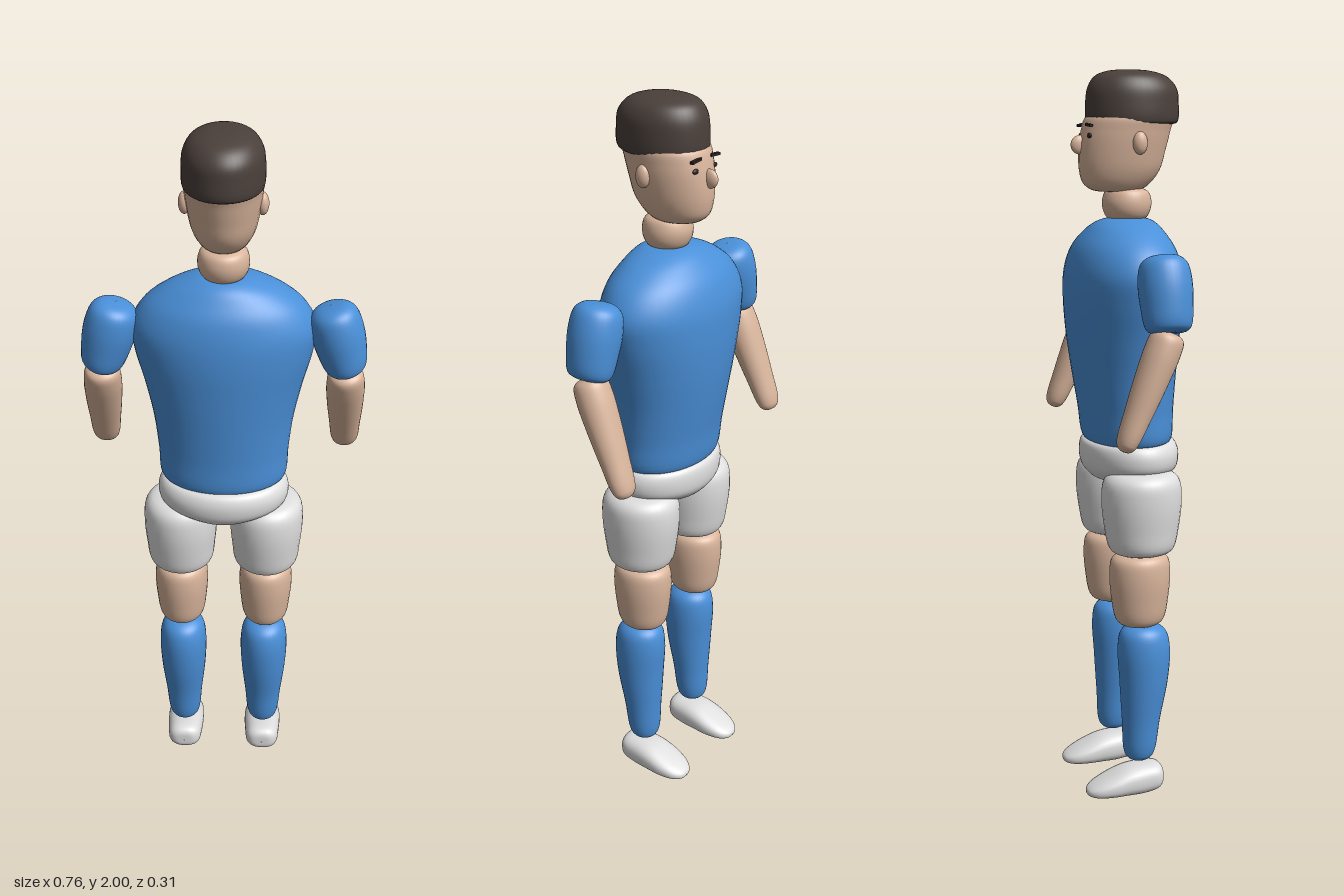
import * as THREE from 'three';

const mat = (name, color) => {
  const m = new THREE.MeshStandardMaterial({ color });
  m.name = name;
  return m;
};

// Smooth closed body from sections [y, radiusX, radiusZ, centreZ]; e < 1 squares the section
function loft(sections, e = 1, segs = 32, steps = 5) {
  const radii = new THREE.CatmullRomCurve3(sections.map(([y, rx, rz]) => new THREE.Vector3(rx, y, rz)));
  const mids = new THREE.CatmullRomCurve3(sections.map(([y, , , c = 0]) => new THREE.Vector3(0, y, c)));
  const rows = (sections.length - 1) * steps;
  const pos = [], index = [];
  const pw = v => Math.sign(v) * Math.abs(v) ** e;
  for (let i = 0; i <= rows; i++) {
    const r = radii.getPoint(i / rows), c = mids.getPoint(i / rows).z;
    for (let j = 0; j < segs; j++) {
      const a = (j / segs) * Math.PI * 2;
      pos.push(Math.max(r.x, 0.001) * pw(Math.cos(a)), r.y, c + Math.max(r.z, 0.001) * pw(Math.sin(a)));
    }
  }
  for (let i = 0; i < rows; i++) {
    for (let j = 0; j < segs; j++) {
      const a = i * segs + j, b = i * segs + (j + 1) % segs;
      index.push(a, a + segs, b, b, a + segs, b + segs);
    }
  }
  const g = new THREE.BufferGeometry();
  g.setAttribute('position', new THREE.Float32BufferAttribute(pos, 3));
  g.setIndex(index);
  g.computeVertexNormals();
  return g;
}

export function createModel() {
  const model = new THREE.Group();
  model.name = 'footballer';
  const blue = mat('kit blue', 0x4a90d9);
  const white = mat('shorts white', 0xdedede);
  const skin = mat('skin', 0xd9b59c);
  const hair = mat('hair brown', 0x4a403b);
  const dark = mat('eye dark', 0x2a2422);

  const add = (name, geo, material, x = 0, y = 0, z = 0) => {
    const m = new THREE.Mesh(geo, material);
    m.name = name;
    m.position.set(x, y, z);
    model.add(m);
    return m;
  };
  const ball = (rx, ry, rz) => new THREE.SphereGeometry(1, 24, 16).scale(rx, ry, rz);

  // Torso, hips and neck
  add('shirt', loft([
    [1.005, 0, 0, 0.012], [1.005, 0.15, 0.105, 0.012], [1.015, 0.17, 0.118, 0.012],
    [1.1, 0.178, 0.127, 0.008], [1.2, 0.19, 0.139, 0.003], [1.3, 0.211, 0.149, 0],
    [1.4, 0.236, 0.154, 0], [1.47, 0.243, 0.15, 0], [1.53, 0.212, 0.134, 0.002],
    [1.575, 0.155, 0.105, 0.005], [1.6, 0.1, 0.08, 0.009], [1.612, 0.055, 0.05, 0.012], [1.613, 0, 0, 0.012],
  ], 1, 48), blue);
  add('shortsWaist', loft([
    [0.887, 0, 0, 0.018], [0.895, 0.08, 0.085, 0.018], [0.915, 0.14, 0.115, 0.018], [0.94, 0.175, 0.13, 0.018],
    [0.975, 0.181, 0.133, 0.018], [1, 0.172, 0.126, 0.016], [1.01, 0.155, 0.11, 0.015], [1.01, 0, 0, 0.015],
  ], 1, 48), white);
  add('neck', loft([
    [1.605, 0, 0, 0.013], [1.61, 0.05, 0.05, 0.013], [1.63, 0.064, 0.063, 0.013], [1.655, 0.067, 0.067, 0.013],
    [1.68, 0.06, 0.06, 0.013], [1.69, 0.045, 0.045, 0.01], [1.69, 0, 0, 0.01],
  ]), skin);

  // Head, hair and face, looking towards -z
  add('head', loft([
    [1.682, 0, 0, -0.02], [1.686, 0.05, 0.065, -0.017], [1.705, 0.068, 0.093, -0.015], [1.74, 0.083, 0.111, -0.007],
    [1.79, 0.093, 0.119, 0], [1.84, 0.099, 0.122, 0.01], [1.88, 0.099, 0.118, 0.022], [1.9, 0, 0, 0.028],
  ]), skin);
  add('hair', loft([
    [1.86, 0, 0, 0.027], [1.861, 0.099, 0.12, 0.027], [1.87, 0.103, 0.126, 0.028], [1.91, 0.104, 0.127, 0.028],
    [1.95, 0.1, 0.122, 0.028], [1.98, 0.083, 0.101, 0.024], [1.996, 0.048, 0.06, 0.02], [2, 0, 0, 0.018],
  ], 1, 40), hair);
  add('nose', ball(0.012, 0.025, 0.025), skin, 0, 1.805, -0.118);

  // Limb built downwards from the shoulder or elbow and tilted towards its far end
  const limb = (name, sections, material, from, to) => {
    const m = add(name, loft(sections), material, ...from);
    const dir = new THREE.Vector3(...from).sub(new THREE.Vector3(...to)).normalize();
    m.quaternion.setFromUnitVectors(new THREE.Vector3(0, 1, 0), dir);
  };

  // Shoe runs heel to toe: [forward, half width, half height, centre height]
  const shoe = loft([
    [-0.078, 0, 0, 0.048], [-0.075, 0.03, 0.025, 0.049], [-0.06, 0.046, 0.038, 0.048], [-0.02, 0.052, 0.043, 0.045],
    [0.03, 0.055, 0.04, 0.042], [0.08, 0.053, 0.03, 0.033], [0.12, 0.041, 0.019, 0.025],
    [0.14, 0.022, 0.01, 0.021], [0.146, 0, 0, 0.02],
  ], 0.8).rotateX(-Math.PI / 2).translate(0, -0.002, 0);

  for (const [side, s] of [['left', -1], ['right', 1]]) {
    // Face details
    add(side + 'Ear', ball(0.016, 0.03, 0.02), skin, s * 0.097, 1.81, 0.018);
    const brow = add(side + 'Brow', new THREE.BoxGeometry(0.038, 0.007, 0.009), dark, s * 0.039, 1.856, -0.104);
    brow.rotation.z = s * -0.08;
    add(side + 'Eye', ball(0.012, 0.007, 0.005), dark, s * 0.039, 1.829, -0.103);

    // Arms
    limb(side + 'Sleeve', [
      [-0.2, 0, 0], [-0.198, 0.035, 0.045], [-0.185, 0.053, 0.06], [-0.13, 0.066, 0.068], [-0.07, 0.07, 0.07],
      [-0.025, 0.062, 0.062], [-0.006, 0.042, 0.042], [0, 0, 0],
    ], blue, [s * 0.277, 1.533, 0.017], [s * 0.328, 1.335, 0.017]);
    limb(side + 'Forearm', [
      [-0.325, 0, 0], [-0.321, 0.02, 0.015], [-0.305, 0.034, 0.026], [-0.22, 0.043, 0.036], [-0.12, 0.05, 0.044],
      [-0.05, 0.051, 0.047], [-0.012, 0.045, 0.043], [0, 0.028, 0.028], [0, 0, 0],
    ], skin, [s * 0.323, 1.34, 0.02], [s * 0.336, 1.03, -0.112]);

    // Legs
    add(side + 'ShortsLeg', loft([
      [0.705, 0, 0], [0.708, 0.065, 0.07], [0.724, 0.088, 0.09], [0.78, 0.097, 0.103], [0.86, 0.103, 0.111],
      [0.91, 0.098, 0.105], [0.932, 0.078, 0.083], [0.937, 0, 0],
    ]), white, s * 0.121, 0, 0.016);
    add(side + 'Knee', loft([
      [0.5, 0, 0], [0.503, 0.045, 0.05], [0.52, 0.062, 0.068], [0.58, 0.072, 0.08], [0.65, 0.076, 0.085],
      [0.69, 0.07, 0.079], [0.706, 0.05, 0.055], [0.708, 0, 0],
    ]), skin, s * 0.122, 0, 0.011);
    add(side + 'Sock', loft([
      [0.098, 0, 0, 0.01], [0.102, 0.026, 0.026, 0.01], [0.12, 0.042, 0.042, 0.011], [0.22, 0.054, 0.054, 0.016],
      [0.34, 0.066, 0.069, 0.024], [0.43, 0.068, 0.074, 0.024], [0.475, 0.06, 0.065, 0.022],
      [0.495, 0.04, 0.042, 0.02], [0.5, 0, 0, 0.02],
    ]), blue, s * 0.12, 0, 0);
    add(side + 'Shoe', shoe, white, s * 0.12, 0, 0);
  }
  return model;
}
